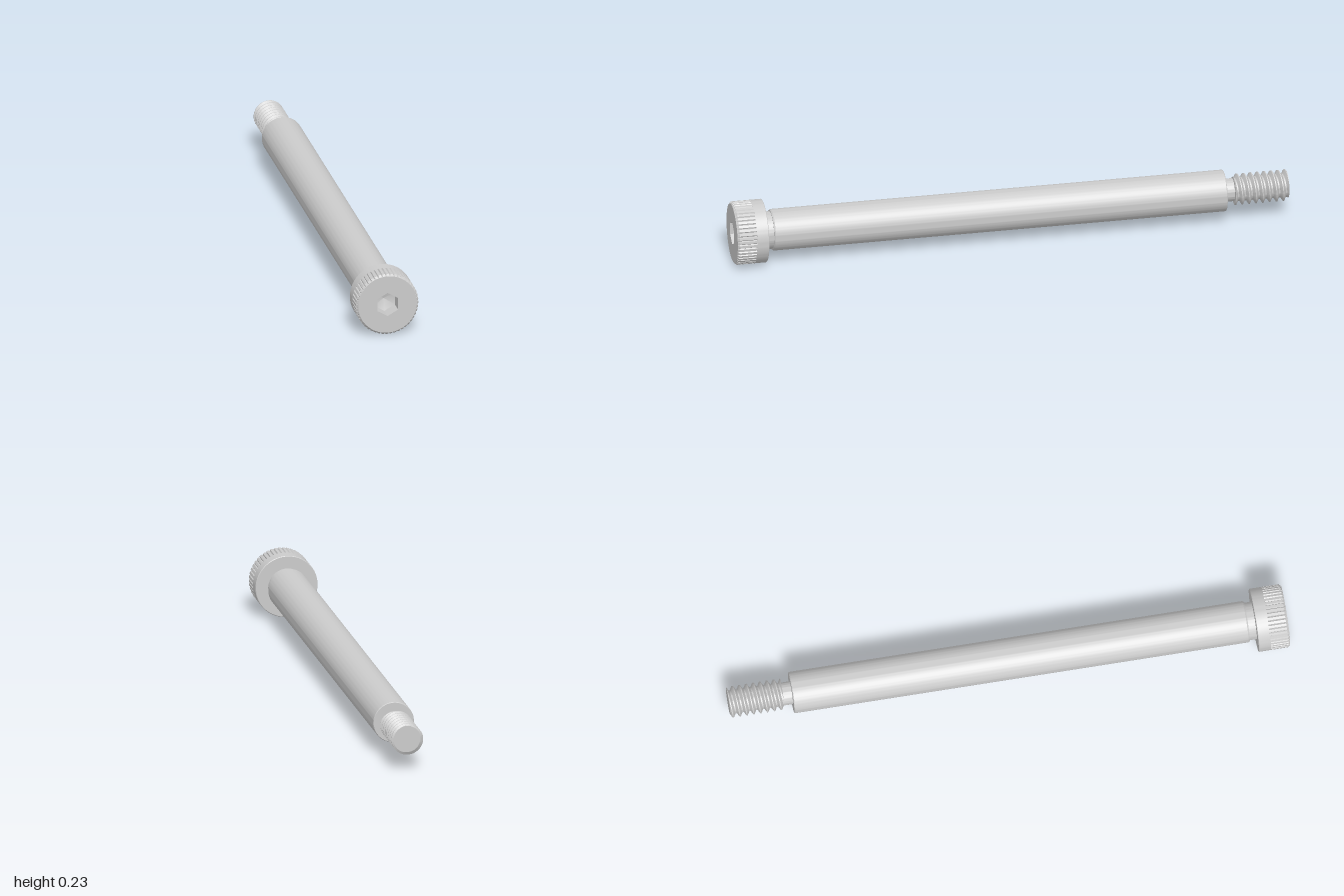
import * as THREE from 'three';
import { toCreasedNormals } from 'three/addons/utils/BufferGeometryUtils.js';

const AXIS_Y = 0.113;
const HEAD_R = 0.113;
const material = new THREE.MeshStandardMaterial({ color: 0xcccccc });

// Lathe from [radius, axial position] pairs; an optional rule moves the vertices.
function turned(name, points, segments = 96, rule = null) {
  const geometry = new THREE.LatheGeometry(points.map(([r, z]) => new THREE.Vector2(r, z)), segments);
  if (rule) {
    const pos = geometry.attributes.position;
    const rows = points.length;
    for (let i = 0; i < pos.count; i++) {
      const column = Math.floor(i / rows);
      const angle = (column / segments) * Math.PI * 2;
      const [r, z] = rule(points[i % rows], angle, column);
      pos.setXYZ(i, r * Math.sin(angle), z, r * Math.cos(angle));
    }
  }
  geometry.rotateX(Math.PI / 2); // turning axis becomes z
  const mesh = new THREE.Mesh(toCreasedNormals(geometry, 0.5), material);
  mesh.name = name;
  return mesh;
}

// Front face of the head with a hexagonal opening
function headFace(radius, hexRadius) {
  const shape = new THREE.Shape().absarc(0, 0, radius, 0, Math.PI * 2, false);
  const hex = [];
  for (let i = 0; i < 6; i++) {
    const a = Math.PI / 2 - (i * Math.PI) / 3;
    hex.push(new THREE.Vector2(hexRadius * Math.cos(a), hexRadius * Math.sin(a)));
  }
  shape.holes.push(new THREE.Path(hex));
  const mesh = new THREE.Mesh(new THREE.ShapeGeometry(shape, 96), material);
  mesh.name = 'headFace';
  mesh.position.z = 1;
  return mesh;
}

// Helical V-thread with a closed end
function thread(start, end, pitch, rootR, crestR) {
  const stops = [0, 0.2, 0.53, 0.67, 1]; // root flat, flank, crest flat, flank
  const radiusAt = (t) => {
    const f = t - Math.floor(t);
    if (f < stops[1]) return rootR;
    if (f < stops[2]) return THREE.MathUtils.mapLinear(f, stops[1], stops[2], rootR, crestR);
    if (f < stops[3]) return crestR;
    return THREE.MathUtils.mapLinear(f, stops[3], 1, crestR, rootR);
  };
  const turns = Math.ceil((end - start) / pitch);
  const rows = [[0, start]];
  for (let k = -1; k <= turns; k++) {
    for (const s of stops.slice(0, 4)) rows.push([rootR, start + (k + s) * pitch]);
  }
  rows.push([rootR - 0.001, end]);
  return turned('thread', rows, 64, ([r, z], angle) => {
    if (r !== rootR) return [r, z];
    const lead = (angle / (Math.PI * 2)) * pitch;
    const at = THREE.MathUtils.clamp(z + lead, start, end);
    return [radiusAt((at - lead - start) / pitch + 1e-6), at];
  });
}

export function createModel() {
  const screw = new THREE.Group();
  screw.name = 'shoulderScrew';
  screw.position.y = AXIS_Y;

  // Head: plain collar, knurled band with chamfer, face and hex socket
  const head = new THREE.Group();
  head.name = 'head';
  head.add(
    turned('headCollar', [[0.06, 0.887], [0.111, 0.887], [HEAD_R, 0.889], [HEAD_R, 0.93]]),
    turned(
      'knurledBand',
      [[HEAD_R, 0.93], [HEAD_R, 0.9305], [HEAD_R, 0.9925], [0.106, 1]],
      240,
      ([r, z], angle, column) => [r === HEAD_R && z > 0.93 && column % 5 === 2 ? r - 0.004 : r, z]
    ),
    headFace(0.106, 0.0435),
    turned('hexSocket', [[0.0435, 1], [0.0435, 0.945], [0, 0.93]], 6)
  );

  // Undercut below the head, ground shoulder and thread relief
  const neck = turned('neck', [[0.067, 0.858], [0.067, 0.888]]);
  const shoulder = turned('shoulder', [
    [0.035, -0.774], [0.072, -0.774], [0.074, -0.771], [0.074, 0.856], [0.071, 0.861], [0.06, 0.861],
  ]);
  const relief = turned('threadRelief', [[0.041, -0.81], [0.041, -0.772]]);

  screw.add(head, neck, shoulder, relief, thread(-1, -0.806, 0.0247, 0.042, 0.056));

  const model = new THREE.Group();
  model.name = 'model';
  model.add(screw);
  return model;
}
